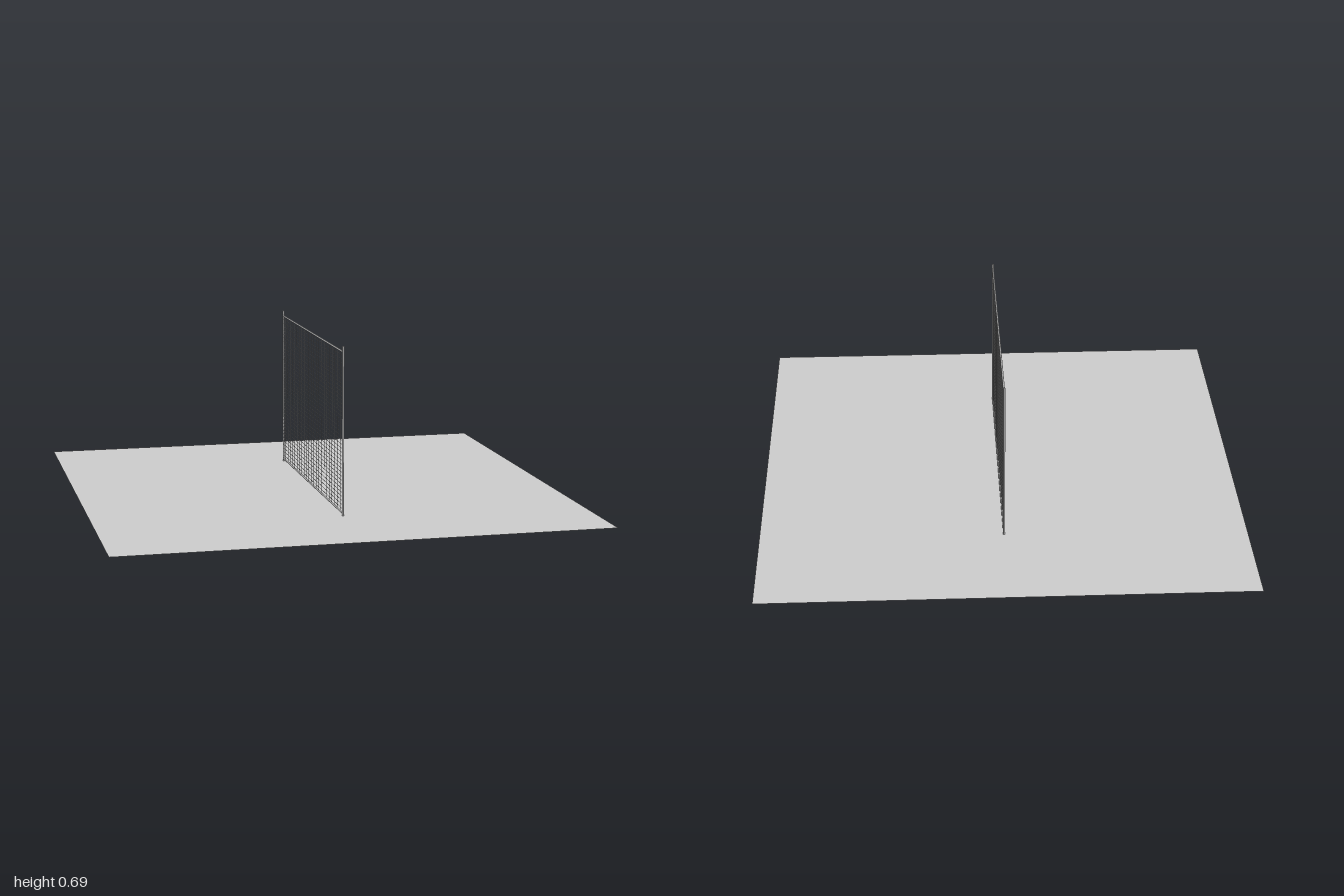
import * as THREE from 'three';

export function createModel() {
  const model = new THREE.Group();
  const grey = new THREE.MeshStandardMaterial({ color: 0xcccccc, side: THREE.DoubleSide });

  const halfSpan = 0.555, postHeight = 0.69;
  const railLow = 0.013, railHigh = 0.667;
  const netHeight = railHigh - railLow, netMiddle = (railHigh + railLow) / 2;

  // A round bar centred at (0, y, z), upright or lying along z
  function bar(name, radius, length, y, z, lying, sides, parent) {
    const geometry = new THREE.CylinderGeometry(radius, radius, length, sides);
    if (lying) geometry.rotateX(Math.PI / 2);
    const mesh = new THREE.Mesh(geometry, grey);
    mesh.name = name;
    mesh.position.set(0, y, z);
    parent.add(mesh);
  }

  // Flat ground sheet
  const ground = new THREE.Mesh(new THREE.PlaneGeometry(2, 2).rotateX(-Math.PI / 2), grey);
  ground.name = 'ground';
  ground.position.y = 0.002;
  model.add(ground);

  // End posts
  const frame = new THREE.Group();
  frame.name = 'frame';
  for (const side of [-1, 1]) {
    bar('post', 0.0042, postHeight, postHeight / 2, side * halfSpan, false, 12, frame);
  }

  // Top and bottom rails
  bar('topRail', 0.004, 2 * halfSpan, railHigh, 0, true, 12, frame);
  bar('bottomRail', 0.004, 2 * halfSpan, railLow, 0, true, 12, frame);
  model.add(frame);

  // Wire mesh between the posts
  const net = new THREE.Group();
  net.name = 'wireMesh';
  const columns = 24, rows = 40;
  for (let i = 1; i < columns; i++) {
    const z = -halfSpan + (2 * halfSpan * i) / columns;
    bar('uprightWire', 0.001, netHeight, netMiddle, z, false, 8, net);
  }
  for (let j = 1; j < rows; j++) {
    const y = railLow + (netHeight * j) / rows;
    bar('crossWire', 0.001, 2 * halfSpan, y, 0, true, 8, net);
  }
  model.add(net);

  return model;
}
